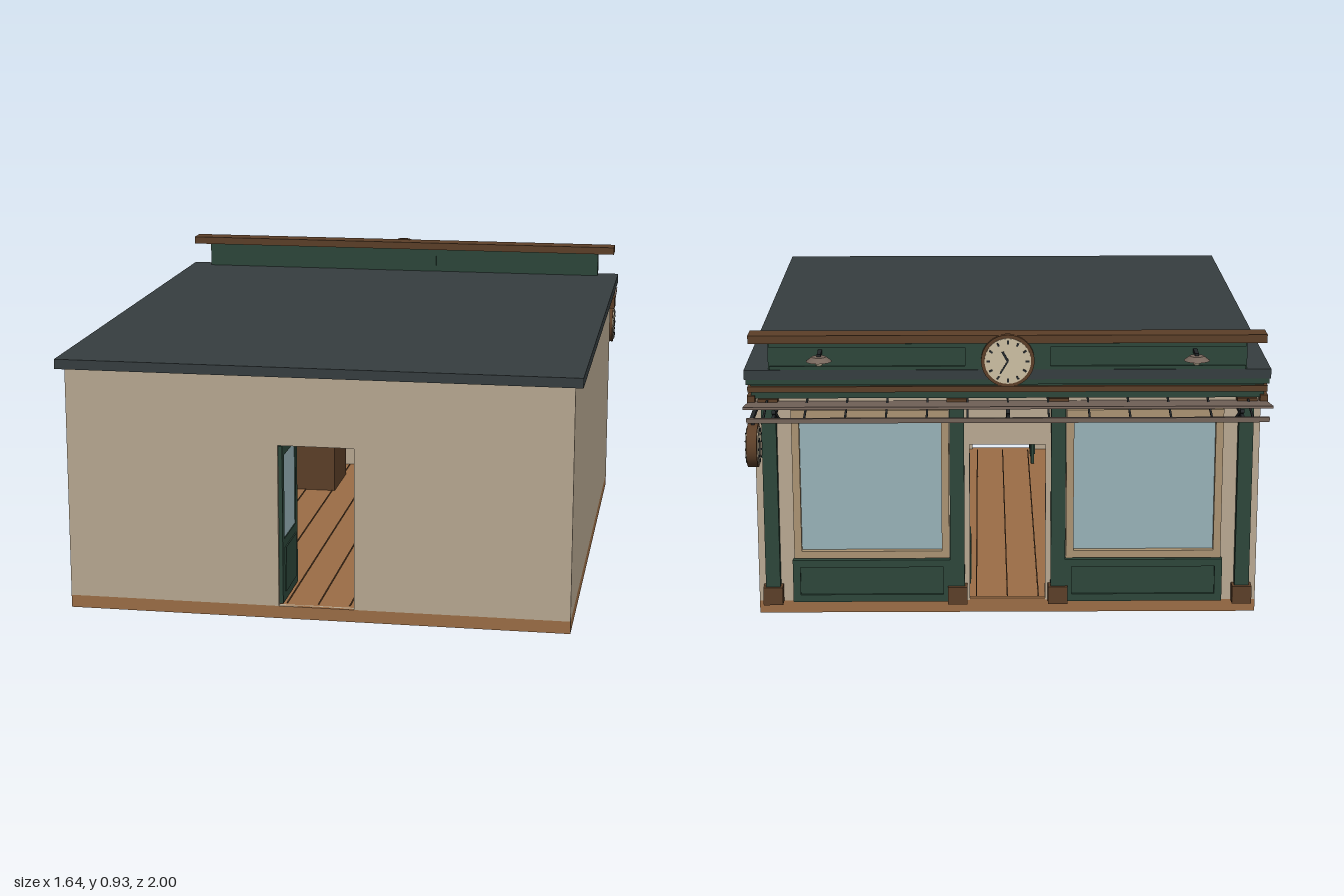
import * as THREE from 'three';

const mat = (name, color) => {
  const m = new THREE.MeshStandardMaterial({ color });
  m.name = name;
  return m;
};

export function createModel() {
  const M = {
    wall: mat('stone plaster', 0xb9a992),
    roof: mat('slate', 0x363e40),
    green: mat('dark green paint', 0x2d463a),
    brown: mat('dark wood', 0x5c3f28),
    wood: mat('light wood', 0x9c6e46),
    awning: mat('canopy taupe', 0x75655b),
    glass: mat('window glass', 0x98b2b8),
    cream: mat('clock face', 0xcdbfa3),
    black: mat('iron', 0x23272a),
    tan: mat('window trim', 0xab9473),
  };
  const model = new THREE.Group();
  model.name = 'clockShop';

  const add = (name, geo, m, parent = model) => {
    const mesh = new THREE.Mesh(geo, m);
    mesh.name = name;
    parent.add(mesh);
    return mesh;
  };
  // Box given by its min and max on each axis
  const box = (name, m, x0, x1, y0, y1, z0, z1, parent) => {
    const b = add(name, new THREE.BoxGeometry(x1 - x0, y1 - y0, z1 - z0), m, parent);
    b.position.set((x0 + x1) / 2, (y0 + y1) / 2, (z0 + z1) / 2);
    return b;
  };
  // Rod between two points in the yz plane
  const rod = (name, m, x, y0, z0, y1, z1, w) => {
    const r = add(name, new THREE.BoxGeometry(w, w, Math.hypot(y1 - y0, z1 - z0)), m);
    r.position.set(x, (y0 + y1) / 2, (z0 + z1) / 2);
    r.rotation.x = -Math.atan2(y1 - y0, z1 - z0);
    return r;
  };
  // Rectangular wall with rectangular holes, extruded along z
  const rect = (P, x0, x1, y0, y1) => {
    const p = new P();
    p.moveTo(x0, y0).lineTo(x1, y0).lineTo(x1, y1).lineTo(x0, y1).closePath();
    return p;
  };
  const holedWall = (name, holes, z) => {
    const s = rect(THREE.Shape, -0.795, 0.795, 0.04, 0.785);
    holes.forEach(h => s.holes.push(rect(THREE.Path, ...h)));
    add(name, new THREE.ExtrudeGeometry(s, { depth: 0.02, bevelEnabled: false }), M.wall).position.z = z;
  };
  // Round clock facing +z with its back on z = 0
  const clock = (name, r, depth) => {
    const g = new THREE.Group();
    g.name = name;
    const disc = (part, rad, d, m, z) => {
      const c = add(part, new THREE.CylinderGeometry(rad, rad, d, 32), m, g);
      c.rotation.x = Math.PI / 2;
      c.position.z = z;
    };
    disc('clockCase', r, depth, M.brown, depth / 2);
    disc('clockDial', r * 0.87, 0.004, M.cream, depth + 0.001);
    const z = depth + 0.004;
    const mark = (part, a, from, to, w) => {
      const b = add(part, new THREE.BoxGeometry(w, to - from, 0.003), M.black, g);
      const d = (from + to) / 2;
      b.position.set(Math.sin(a) * d, Math.cos(a) * d, z);
      b.rotation.z = -a;
    };
    for (let i = 0; i < 12; i++) mark('hourMark', i * Math.PI / 6, r * 0.66, r * 0.8, r * 0.07);
    mark('hourHand', -0.5, 0, r * 0.42, r * 0.09);
    mark('minuteHand', -2.6, 0, r * 0.55, r * 0.06);
    model.add(g);
    return g;
  };

  // Floor, walls and roof
  box('floorSlab', M.wood, -0.795, 0.795, 0, 0.04, -0.79, 0.975);
  for (let x = -0.7; x < 0.75; x += 0.1) box('plankSeam', M.brown, x - 0.002, x + 0.002, 0.04, 0.042, -0.76, 0.94);
  const door = [-0.12, 0.12, 0.04, 0.56];
  holedWall('plainWall', [door], 0.955);
  holedWall('shopWall', [door, [0.2, 0.665, 0.2, 0.66], [-0.665, -0.2, 0.2, 0.66]], -0.79);
  for (const s of [-1, 1]) {
    const wall = box('sideWall', M.wall, -0.01, 0.01, 0.04, 0.785, -0.77, 0.955);
    wall.position.x = s * 0.785;
  }
  box('roof', M.roof, -0.82, 0.82, 0.782, 0.813, -0.83, 1);

  // Open door leaves, swung inward
  const leaf = (x, z0, z1) => {
    const t = 0.006;
    box('doorPanel', M.green, x - t, x + t, 0.045, 0.25, z0, z1);
    box('doorTopRail', M.green, x - t, x + t, 0.52, 0.555, z0, z1);
    box('doorStile', M.green, x - t, x + t, 0.25, 0.52, z0, z0 + 0.03);
    box('doorStile', M.green, x - t, x + t, 0.25, 0.52, z1 - 0.03, z1);
    box('doorGlass', M.glass, x - 0.003, x + 0.003, 0.25, 0.52, z0 + 0.03, z1 - 0.03);
    box('doorInset', M.green, x - t - 0.004, x + t + 0.004, 0.075, 0.22, z0 + 0.035, z1 - 0.035);
  };
  leaf(-0.114, 0.73, 0.965);
  leaf(0.127, -0.768, -0.545);

  // Shopfront windows, panels and pilasters
  for (const s of [-1, 1]) {
    const side = new THREE.Group();
    side.name = s > 0 ? 'leftShopfront' : 'rightShopfront';
    side.position.x = s * 0.4325;
    model.add(side);
    box('windowGlass', M.glass, -0.233, 0.233, 0.2, 0.66, -0.786, -0.778, side);
    for (const e of [-1, 1]) box('windowStile', M.tan, e * 0.235 - 0.012, e * 0.235 + 0.012, 0.19, 0.675, -0.805, -0.77, side);
    for (const y of [0.2, 0.665]) box('windowRail', M.tan, -0.247, 0.247, y - 0.012, y + 0.012, -0.807, -0.77, side);
    box('lowerPanel', M.green, -0.25, 0.25, 0.045, 0.185, -0.808, -0.79, side);
    for (const e of [-1, 1]) box('panelStile', M.green, e * 0.24 - 0.012, e * 0.24 + 0.012, 0.045, 0.185, -0.816, -0.8, side);
    for (const y of [0.057, 0.173]) box('panelRail', M.green, -0.25, 0.25, y - 0.012, y + 0.012, -0.816, -0.8, side);
    for (const x of [s * 0.748, s * 0.16]) {
      box('pilaster', M.green, x - 0.023, x + 0.023, 0.045, 0.7, -0.82, -0.785);
      box('pilasterBase', M.brown, x - 0.031, x + 0.031, 0.04, 0.098, -0.832, -0.785);
      box('pilasterCapital', M.brown, x - 0.031, x + 0.031, 0.69, 0.72, -0.832, -0.785);
    }
    box('endBracket', M.brown, s * 0.8 - 0.012, s * 0.8 + 0.012, 0.69, 0.73, -0.83, -0.77);
  }
  box('thresholdStep', M.wood, -0.12, 0.12, 0.04, 0.046, -0.79, -0.77);

  // Entablature under the roof
  box('frieze', M.green, -0.8, 0.8, 0.72, 0.782, -0.82, -0.785);
  box('lowerMoulding', M.brown, -0.81, 0.81, 0.742, 0.76, -0.832, -0.765);
  box('upperMoulding', M.green, -0.815, 0.815, 0.766, 0.782, -0.83, -0.77);

  // Parapet sign board and cornice
  box('signBoard', M.green, -0.745, 0.745, 0.81, 0.9, -0.82, -0.776);
  box('signCentre', M.green, -0.133, 0.133, 0.81, 0.9, -0.826, -0.774);
  box('cornice', M.brown, -0.805, 0.805, 0.897, 0.923, -0.832, -0.76);
  for (const y of [0.818, 0.89]) box('signTrim', M.green, -0.74, 0.74, y - 0.006, y + 0.006, -0.828, -0.815);

  // Canopy: sheet rising outward, ribs falling outward to a front rail
  const sheet = add('canopySheet', new THREE.BoxGeometry(1.62, 0.008, 0.19), M.awning);
  sheet.position.set(0, 0.715, -0.886);
  sheet.rotation.x = Math.atan2(0.03, 0.187);
  for (let i = -6; i <= 6; i++) rod('canopyRib', M.black, i * 0.125, 0.722, -0.79, 0.69, -0.972, 0.006);
  box('canopyRail', M.awning, -0.8, 0.8, 0.682, 0.697, -0.977, -0.966);
  for (const x of [-0.72, 0, 0.72]) {
    rod('canopyBrace', M.black, x, 0.645, -0.8, 0.708, -0.94, 0.012);
    rod('canopyArm', M.black, x, 0.69, -0.79, 0.69, -0.97, 0.01);
  }

  // Sign lamps
  for (const x of [-0.582, 0.582]) {
    rod('lampArm', M.black, x, 0.87, -0.82, 0.87, -0.885, 0.012);
    add('lampShade', new THREE.CylinderGeometry(0.022, 0.04, 0.014, 24), M.awning).position.set(x, 0.861, -0.88);
    add('lampBulb', new THREE.SphereGeometry(0.013, 16, 10), M.cream).position.set(x, 0.85, -0.88);
  }

  // Sign clock and double-sided hanging clock
  const signClock = clock('signClock', 0.083, 0.02);
  signClock.position.set(0, 0.844, -0.824);
  signClock.rotation.y = Math.PI;
  for (const s of [-1, 1]) {
    const c = clock('hangingClock', 0.067, 0.016);
    c.position.set(0.785, 0.6, -0.93);
    c.rotation.y = s * Math.PI / 2;
  }
  rod('clockArm', M.black, 0.785, 0.69, -0.79, 0.69, -0.97, 0.012);
  box('clockHanger', M.black, 0.78, 0.79, 0.66, 0.69, -0.935, -0.925);

  // Interior display counters with small clocks
  for (const [x, z, top] of [[-0.35, -0.5, 0.25], [-0.4, 0.35, 0.2]]) {
    box('counter', M.brown, x - 0.16, x + 0.16, 0.04, top, z - 0.12, z + 0.12);
    box('counterTop', M.wood, x - 0.17, x + 0.17, top, top + 0.015, z - 0.13, z + 0.13);
    for (const dx of [-0.1, 0, 0.1]) {
      const c = clock('tableClock', 0.035, 0.02);
      c.position.set(x + dx, top + 0.049, z);
      c.rotation.y = z < 0 ? Math.PI : 0;
    }
  }
  return model;
}
